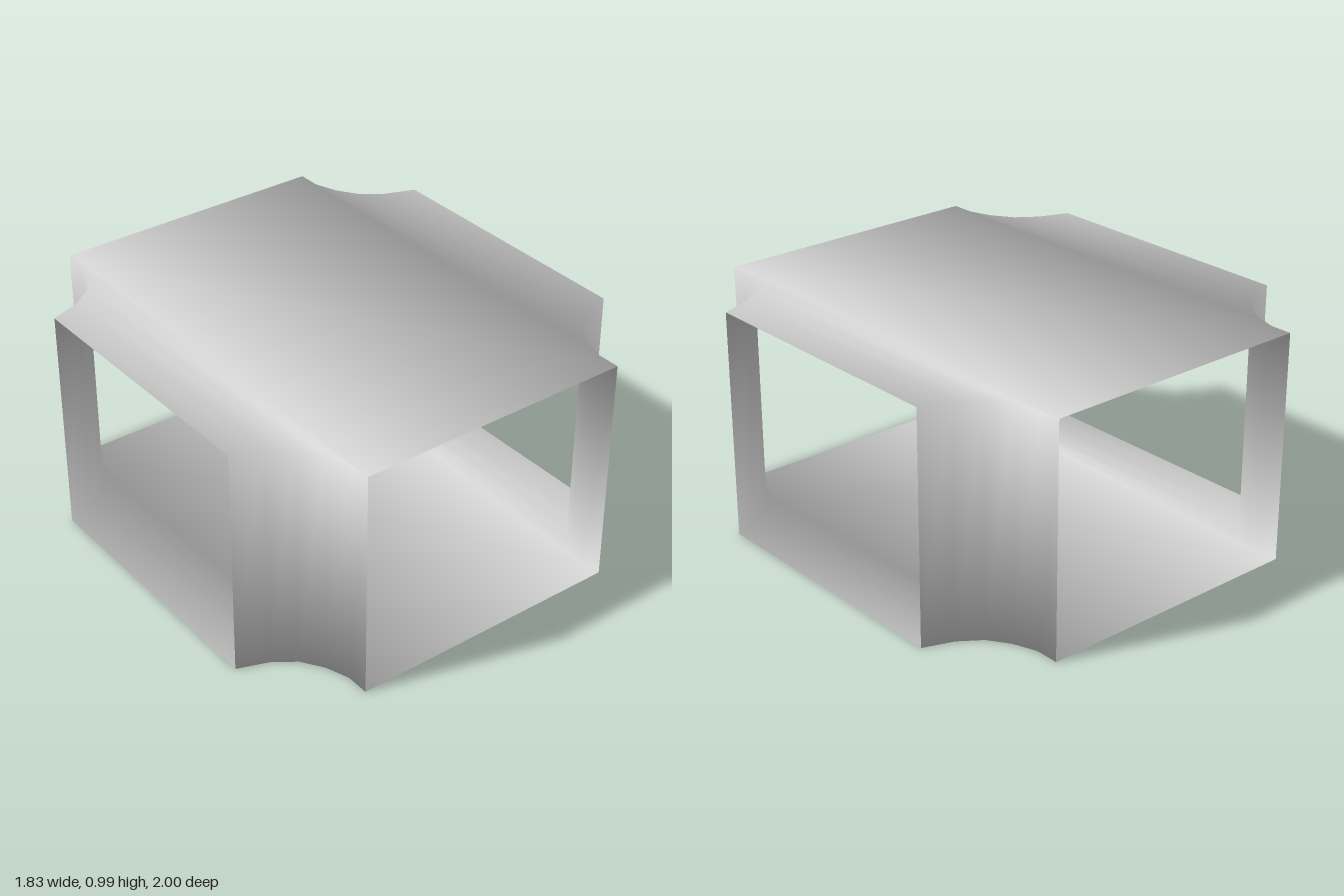
import * as THREE from 'three';

const HEIGHT = 0.985;
// Scooped corner outline (x, z), from the end edge round to the side edge
const CORNER = [[0.6, 1], [0.6, 0.9], [0.635, 0.8], [0.695, 0.71], [0.785, 0.645], [0.913, 0.597]];

const material = new THREE.MeshStandardMaterial({ color: 0xcccccc, side: THREE.DoubleSide });

// Smooth sheet joining two rails of points; each point carries its own normal
function sheet(name, railA, railB, flip) {
  const positions = [], normals = [], index = [];
  railA.forEach((a, i) => {
    for (const v of [a, railB[i]]) {
      positions.push(...v.p);
      normals.push(...v.n);
    }
    if (i === 0) return;
    const k = 2 * i;
    const [a0, b0, a1, b1] = [k - 2, k - 1, k, k + 1];
    index.push(...(flip ? [a0, b0, a1, a1, b0, b1] : [a0, a1, b0, a1, b1, b0]));
  });
  const geometry = new THREE.BufferGeometry();
  geometry.setAttribute('position', new THREE.Float32BufferAttribute(positions, 3));
  geometry.setAttribute('normal', new THREE.Float32BufferAttribute(normals, 3));
  geometry.setIndex(index);
  const mesh = new THREE.Mesh(geometry, material);
  mesh.name = name;
  return mesh;
}

// Corner point mirrored by sx, sz; its normal blends the scoop with the plate
function cornerPoint([x, z], sx, sz, top) {
  const out = new THREE.Vector3(sx * (1 - x), 0, sz * (1 - z)).normalize();
  out.y = top ? 1 : -1;
  return { p: [sx * x, top ? HEIGHT : 0, sz * z], n: out.normalize().toArray() };
}

export function createModel() {
  const model = new THREE.Group();
  model.name = 'openFrame';

  // Top and bottom plates, spanned front to back in strips
  for (const top of [true, false]) {
    const rail = (sz) => [
      ...CORNER.slice().reverse().map((c) => cornerPoint(c, -1, sz, top)),
      ...CORNER.map((c) => cornerPoint(c, 1, sz, top)),
    ];
    model.add(sheet(top ? 'topPlate' : 'bottomPlate', rail(1), rail(-1), !top));
  }

  // Four concave corner posts
  for (const sx of [1, -1]) {
    for (const sz of [1, -1]) {
      const rail = (top) => CORNER.map((c) => cornerPoint(c, sx, sz, top));
      const name = (sz > 0 ? 'front' : 'back') + (sx > 0 ? 'Left' : 'Right') + 'Post';
      model.add(sheet(name, rail(false), rail(true), sx * sz < 0));
    }
  }
  return model;
}
